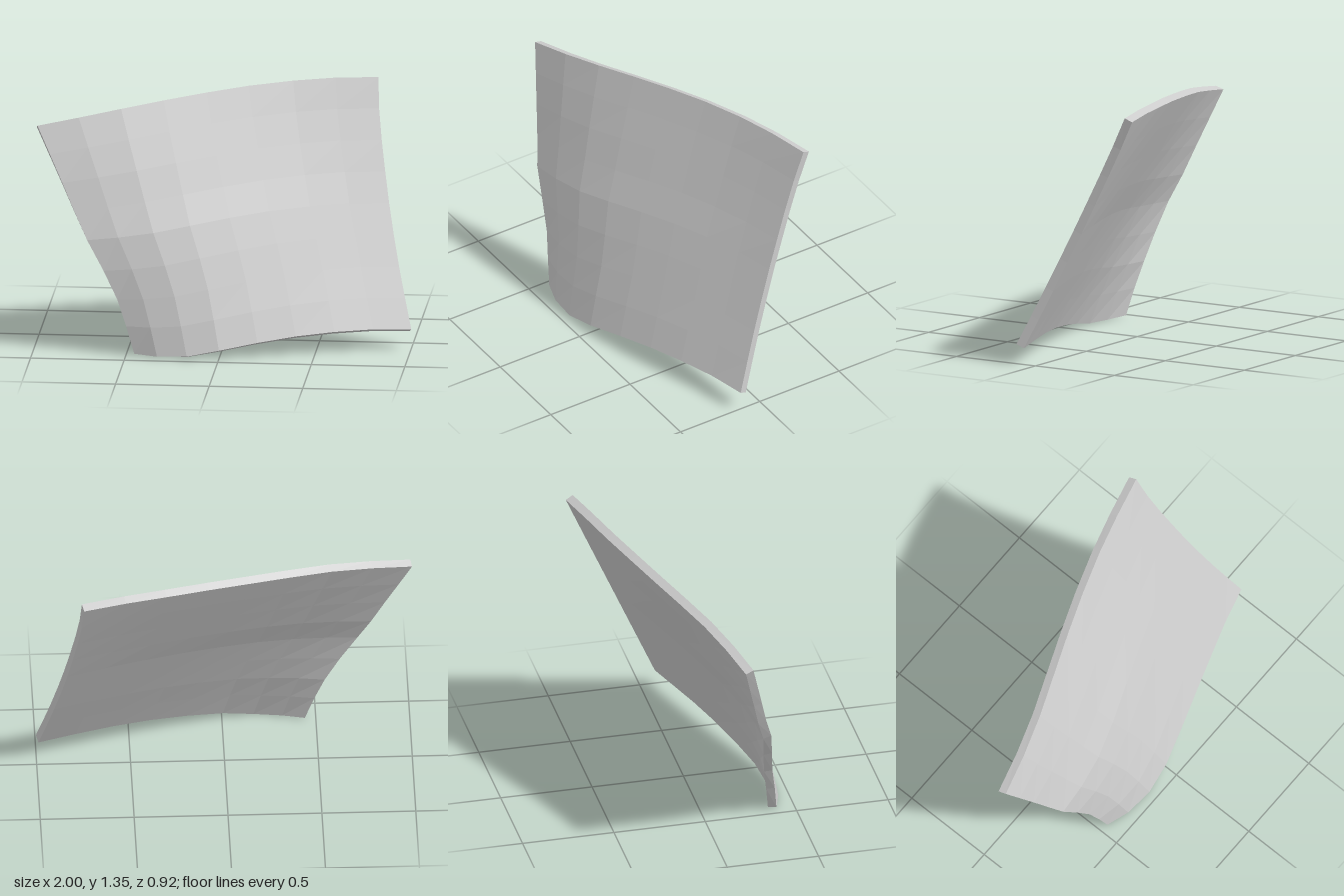
import * as THREE from 'three';

const N = 8;            // facets along each edge
const THICKNESS = 0.046;
const points = (list) => list.map((p) => new THREE.Vector3(...p));

// Four boundary curves of the front face, each with N + 1 points
const bottom = points([
  [-0.455, 0.015, 0.4], [-0.33, 0.012, 0.44], [-0.17, 0.02, 0.455], [0, 0.05, 0.43], [0.2, 0.082, 0.37],
  [0.4, 0.106, 0.305], [0.6, 0.118, 0.24], [0.8, 0.12, 0.175], [1, 0.11, 0.12],
]);
const top = points([
  [-0.995, 1.19, 0.145], [-0.78, 1.225, 0.09], [-0.56, 1.26, 0.02], [-0.34, 1.29, -0.065], [-0.12, 1.316, -0.15],
  [0.1, 1.338, -0.23], [0.33, 1.352, -0.305], [0.55, 1.358, -0.365], [0.775, 1.352, -0.42],
]);
const left = points([
  [-0.455, 0.015, 0.4], [-0.5, 0.16, 0.38], [-0.55, 0.3, 0.355], [-0.625, 0.45, 0.335], [-0.715, 0.61, 0.31],
  [-0.785, 0.75, 0.265], [-0.855, 0.9, 0.225], [-0.925, 1.045, 0.185], [-0.995, 1.19, 0.145],
]);
const right = [1, 0.96, 0.922, 0.888, 0.857, 0.83, 0.805, 0.785, 0.775].map(
  (x, j) => new THREE.Vector3(x, 0.11 + (1.242 * j) / N, 0.12 - (0.54 * j) / N),
);

// Blend the four curves into a surface point
function surface(i, j) {
  const u = i / N, v = j / N;
  return new THREE.Vector3()
    .addScaledVector(bottom[i], 1 - v).addScaledVector(top[i], v)
    .addScaledVector(left[j], 1 - u).addScaledVector(right[j], u)
    .addScaledVector(bottom[0], -(1 - u) * (1 - v)).addScaledVector(bottom[N], -u * (1 - v))
    .addScaledVector(top[0], -(1 - u) * v).addScaledVector(top[N], -u * v);
}

function plateGeometry() {
  const row = N + 1, count = row * row;
  const front = [], back = [], index = [];
  const id = (i, j) => j * row + i;
  const quad = (a, b, c, d) => index.push(a, b, c, a, c, d);

  for (let j = 0; j <= N; j++) for (let i = 0; i <= N; i++) front.push(surface(i, j));

  // Back face: push each point inward along the surface normal
  for (let j = 0; j <= N; j++) for (let i = 0; i <= N; i++) {
    const across = front[id(Math.min(i + 1, N), j)].clone().sub(front[id(Math.max(i - 1, 0), j)]);
    const up = front[id(i, Math.min(j + 1, N))].clone().sub(front[id(i, Math.max(j - 1, 0))]);
    const normal = across.cross(up).normalize();
    back.push(front[id(i, j)].clone().addScaledVector(normal, -THICKNESS));
  }

  for (let j = 0; j < N; j++) for (let i = 0; i < N; i++) {
    const a = id(i, j), b = id(i + 1, j), c = id(i + 1, j + 1), d = id(i, j + 1);
    quad(a, b, c, d);
    quad(count + b, count + a, count + d, count + c);
  }

  // Rim: walk the border anticlockwise and join front to back
  const border = [];
  for (let k = 0; k < N; k++) border.push(id(k, 0));
  for (let k = 0; k < N; k++) border.push(id(N, k));
  for (let k = N; k > 0; k--) border.push(id(k, N));
  for (let k = N; k > 0; k--) border.push(id(0, k));
  border.forEach((a, k) => {
    const b = border[(k + 1) % border.length];
    quad(count + a, count + b, b, a);
  });

  const geometry = new THREE.BufferGeometry().setFromPoints([...front, ...back]);
  geometry.setIndex(index);
  geometry.computeVertexNormals();
  geometry.computeBoundingBox();
  geometry.translate(0, -geometry.boundingBox.min.y, 0);
  return geometry;
}

export function createModel() {
  const group = new THREE.Group();
  group.name = 'curvedPanel';
  const plate = new THREE.Mesh(
    plateGeometry(),
    new THREE.MeshStandardMaterial({ color: 0xcccccc, flatShading: true }),
  );
  plate.name = 'plate';
  group.add(plate);
  return group;
}
